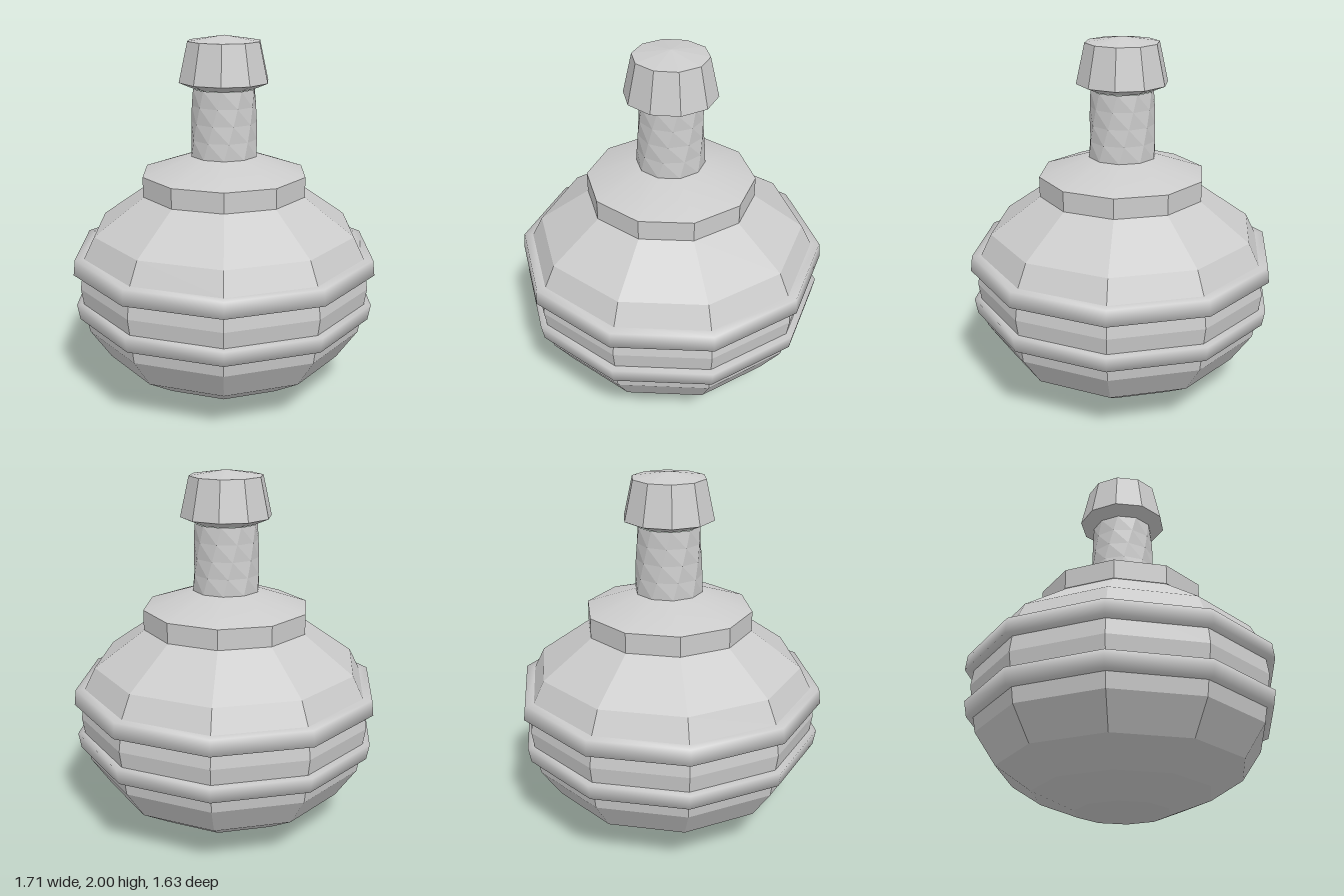
import * as THREE from 'three';

const SIDES = 10;
const flat = new THREE.MeshStandardMaterial({ color: 0xcccccc, flatShading: true });
const smooth = new THREE.MeshStandardMaterial({ color: 0xcccccc });

// Ten-sided turned part from [radius, height] pairs, bottom to top, with a corner on +x
function turned(name, profile, material = flat) {
  const points = profile.map(([r, y]) => new THREE.Vector2(r, y));
  const mesh = new THREE.Mesh(new THREE.LatheGeometry(points, SIDES, Math.PI / 2), material);
  mesh.name = name;
  return mesh;
}

export function createModel() {
  const group = new THREE.Group();
  group.name = 'flask';
  const twist = THREE.MathUtils.degToRad(32.6);

  // Faceted round bowl
  group.add(turned('body', [
    [0, 0], [0.255, 0.025], [0.48, 0.115], [0.665, 0.235], [0.78, 0.405],
    [0.82, 0.66], [0.795, 0.83], [0.735, 0.95], [0.455, 1.15],
  ]));

  // Two soft-shaded hoops, each leaning with the wall of the bowl
  group.add(turned('lowerBand', [[0.78, 0.485], [0.83, 0.485], [0.845, 0.57], [0.79, 0.57]], smooth));
  group.add(turned('upperBand', [[0.79, 0.745], [0.855, 0.745], [0.845, 0.83], [0.78, 0.83]], smooth));

  // Collar with a sloping shoulder
  group.add(turned('collar', [[0.4, 1.15], [0.46, 1.15], [0.46, 1.26]]));
  group.add(turned('shoulder', [[0.46, 1.26], [0.18, 1.355], [0, 1.355]], smooth));

  // Neck whose rings turn steadily with height
  const y0 = 1.355, y1 = 1.72;
  const neck = turned('neck', [0, 1, 2, 3, 4].map((i) => [0.185 - 0.0035 * i, y0 + (y1 - y0) * i / 4]));
  const pos = neck.geometry.attributes.position;
  const v = new THREE.Vector3();
  const up = new THREE.Vector3(0, 1, 0);
  for (let i = 0; i < pos.count; i++) {
    v.fromBufferAttribute(pos, i);
    v.applyAxisAngle(up, twist * (v.y - y0) / (y1 - y0));
    pos.setXYZ(i, v.x, v.y, v.z);
  }
  neck.geometry.computeVertexNormals();
  group.add(neck);

  // Stopper, turned to match the top of the neck
  const stopper = turned('stopper', [[0, 1.72], [0.165, 1.72], [0.248, 1.755], [0.2, 1.97], [0, 2]]);
  stopper.rotation.y = twist;
  group.add(stopper);

  return group;
}
